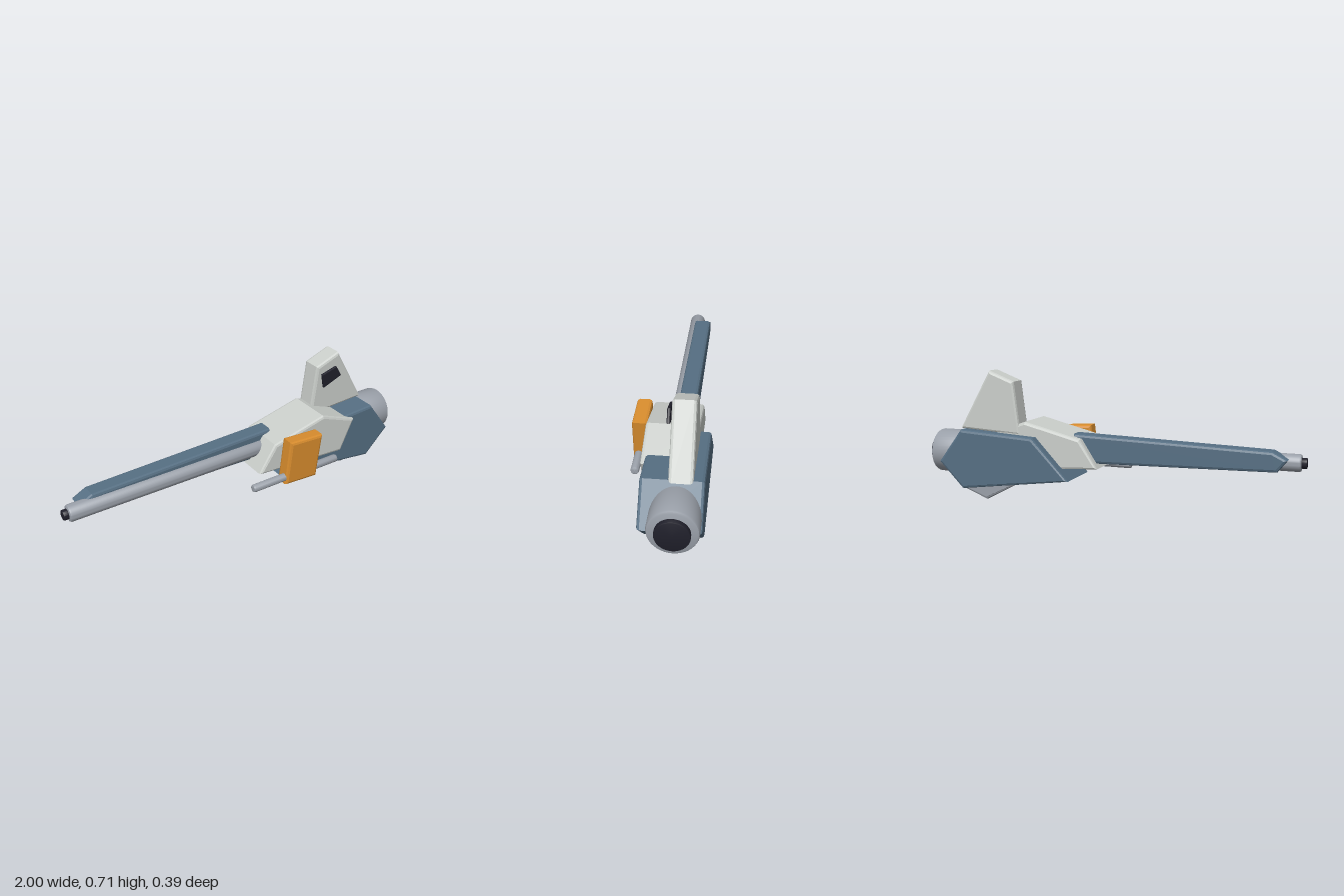
import * as THREE from 'three';
import { toCreasedNormals } from 'three/addons/utils/BufferGeometryUtils.js';

const paint = (name, color) => {
  const m = new THREE.MeshStandardMaterial({ color });
  m.name = name;
  return m;
};

export function createModel() {
  const blue = paint('slate blue', 0x566f83);
  const white = paint('pale grey', 0xcbcfcb);
  const orange = paint('orange', 0xd98d2e);
  const metal = paint('metal grey', 0x9aa0a9);
  const dark = paint('near black', 0x20202b);

  const model = new THREE.Group();
  model.name = 'blaster';

  const add = (name, geometry, material) => {
    const mesh = new THREE.Mesh(geometry, material);
    mesh.name = name;
    model.add(mesh);
    return mesh;
  };

  // Bevelled slab: side outline (x, y) filling z0..z1, bevel kept inside the outline
  const slab = (name, material, points, z0, z1, bevel = 0.014) => {
    const shape = new THREE.Shape(points.map(([x, y]) => new THREE.Vector2(x, y)));
    const geometry = new THREE.ExtrudeGeometry(shape, {
      depth: z1 - z0 - 2 * bevel,
      bevelThickness: bevel,
      bevelSize: bevel,
      bevelOffset: -bevel,
      bevelSegments: 2,
    });
    geometry.translate(0, 0, z0 + bevel);
    return add(name, geometry, material);
  };

  // Round bar along x with chamfered ends
  const bar = (name, material, x0, x1, radius, y, z, c = 0.01) => {
    const profile = [
      [0, x0], [radius - c, x0], [radius - c * 0.3, x0 + c * 0.3], [radius, x0 + c],
      [radius, x1 - c], [radius - c * 0.3, x1 - c * 0.3], [radius - c, x1], [0, x1],
    ].map(([r, h]) => new THREE.Vector2(r, h));
    const geometry = toCreasedNormals(new THREE.LatheGeometry(profile, 40), 0.5);
    geometry.rotateZ(-Math.PI / 2);
    geometry.translate(0, y, z);
    return add(name, geometry, material);
  };

  // Main hull and the pale shell wrapped around its front
  slab('hull', blue, [[0.17, 0.157], [0.785, 0.074], [0.925, 0.215], [0.79, 0.394], [0.37, 0.37]], -0.193, 0.095);
  slab('shell', white, [[0.03, 0.222], [0.57, 0.187], [0.65, 0.365], [0.435, 0.447], [0.125, 0.37]], -0.14, 0.115);

  // Upper fin with its dark window, and lower fin
  slab('upperFin', white, [[0.46, 0.375], [0.815, 0.395], [0.637, 0.709], [0.495, 0.655]], -0.143, -0.033);
  slab('finWindow', dark, [[0.525, 0.537], [0.642, 0.583], [0.606, 0.644], [0.51, 0.617]], -0.024, -0.008, 0.005);
  slab('lowerFin', metal, [[0.47, 0.12], [0.695, 0], [0.835, 0.055], [0.77, 0.12]], -0.097, -0.014);

  // Long barrel, backing rail and muzzle
  bar('barrel', metal, -0.975, 0.2, 0.043, 0.304, -0.016);
  bar('muzzle', dark, -1, -0.965, 0.026, 0.304, -0.016, 0.003);
  slab('barrelRail', blue, [[-0.87, 0.264], [0.175, 0.24], [0.175, 0.392], [-0.845, 0.363], [-0.918, 0.325]], -0.1, -0.008);

  // Rear nozzle
  bar('nozzle', metal, 0.78, 0.977, 0.117, 0.257, -0.07, 0.012);
  bar('nozzleCore', dark, 0.96, 1, 0.08, 0.257, -0.07, 0.005);

  // Side pod with the rod running through it
  slab('sidePod', orange, [[0.138, 0.163], [0.338, 0.151], [0.368, 0.396], [0.165, 0.408]], 0.117, 0.195);
  bar('sideRod', metal, -0.055, 0.49, 0.021, 0.198, 0.167);

  return model;
}
